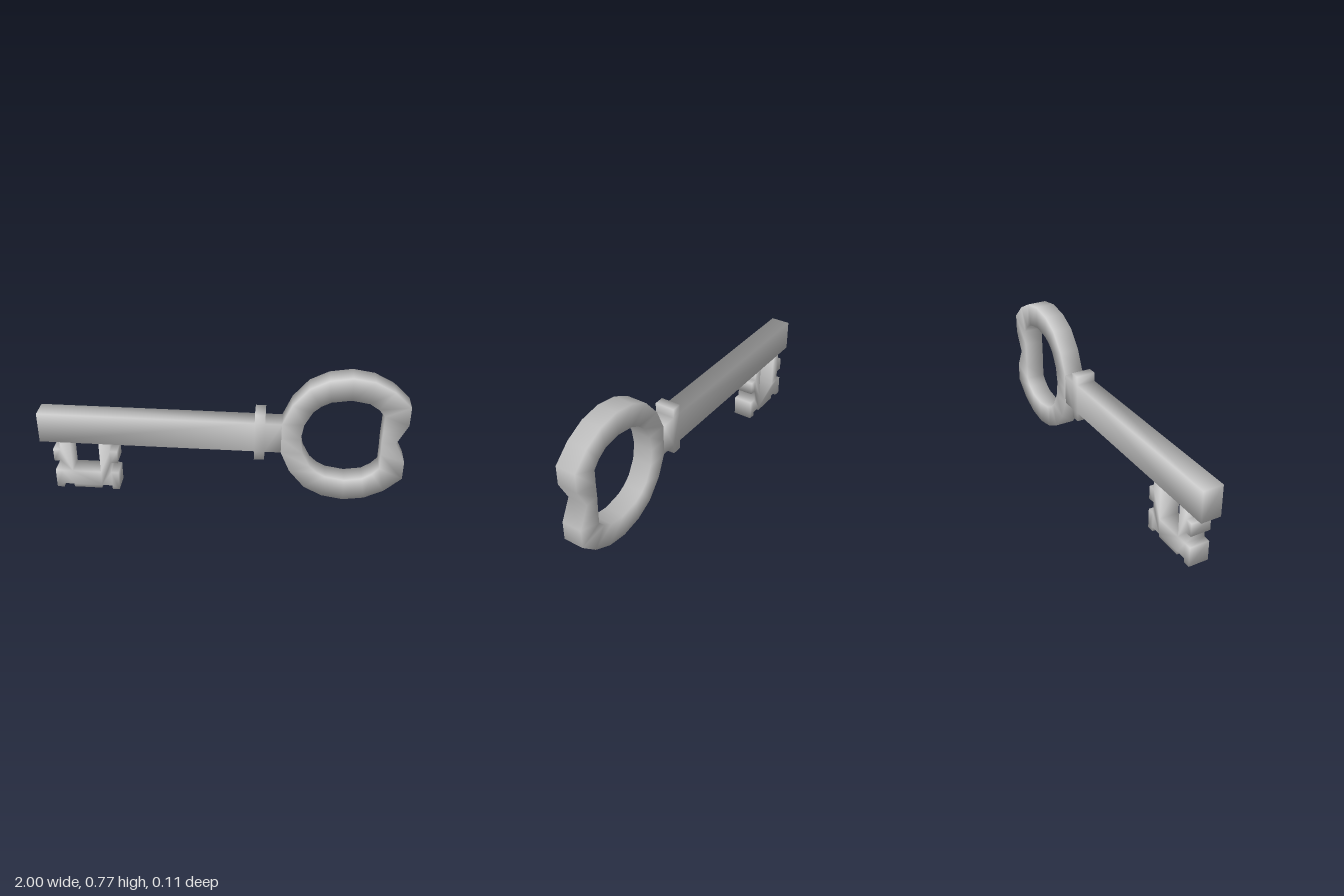
import * as THREE from 'three';
import { mergeVertices } from 'three/addons/utils/BufferGeometryUtils.js';

const DEPTH = 0.112;
const AXIS_Y = 0.388;
const material = new THREE.MeshStandardMaterial({ color: 0xcccccc });

// Blends the normals over every edge, weighting each face by its corner angle
function softNormals(geometry) {
  const { position } = geometry.attributes;
  const index = geometry.index.array;
  const normals = Array.from({ length: position.count }, () => new THREE.Vector3());
  for (let i = 0; i < index.length; i += 3) {
    const ids = [0, 1, 2].map((k) => index[i + k]);
    const corners = ids.map((id) => new THREE.Vector3().fromBufferAttribute(position, id));
    const faceNormal = new THREE.Triangle(...corners).getNormal(new THREE.Vector3());
    ids.forEach((id, k) => {
      const toNext = corners[(k + 1) % 3].clone().sub(corners[k]);
      const toLast = corners[(k + 2) % 3].clone().sub(corners[k]);
      normals[id].addScaledVector(faceNormal, toNext.angleTo(toLast));
    });
  }
  const flat = normals.flatMap((n) => n.normalize().toArray());
  geometry.setAttribute('normal', new THREE.Float32BufferAttribute(flat, 3));
}

function softMesh(name, geometry) {
  softNormals(geometry);
  const mesh = new THREE.Mesh(geometry, material);
  mesh.name = name;
  return mesh;
}

// Flat plate cut from an outline
function plate(name, outline) {
  const shape = new THREE.Shape(outline.map(([x, y]) => new THREE.Vector2(x, y)));
  const geometry = new THREE.ExtrudeGeometry(shape, { depth: DEPTH, bevelEnabled: false });
  geometry.translate(0, 0, -DEPTH / 2);
  geometry.deleteAttribute('normal');
  geometry.deleteAttribute('uv');
  return softMesh(name, mergeVertices(geometry, 1e-4));
}

// Closed ring of four-cornered sections, each given as outer x, y and inner x, y
function ring(name, sections) {
  const positions = [];
  const index = [];
  const z = DEPTH / 2;
  sections.forEach(([ox, oy, ix, iy], i) => {
    positions.push(ox, oy, z, ix, iy, z, ix, iy, -z, ox, oy, -z);
    const here = i * 4;
    const next = ((i + 1) % sections.length) * 4;
    for (let k = 0; k < 4; k++) {
      const l = (k + 1) % 4;
      index.push(here + l, next + l, next + k, here + l, next + k, here + k);
    }
  });
  const geometry = new THREE.BufferGeometry();
  geometry.setAttribute('position', new THREE.Float32BufferAttribute(positions, 3));
  geometry.setIndex(index);
  return softMesh(name, geometry);
}

export function createModel() {
  const key = new THREE.Group();
  key.name = 'key';

  // Shaft with its collar and the short neck behind it
  const stemTop = [
    [-1, 0.088], [0.19, 0.088], [0.19, 0.14], [0.246, 0.14], [0.246, 0.088], [0.335, 0.088],
  ];
  const stemBottom = stemTop.map(([x, y]) => [x, -y]).reverse();
  key.add(plate('shaftAndCollar', [...stemTop, ...stemBottom].map(([x, y]) => [x, AXIS_Y + y])));

  // Heart-shaped bow: upper half, then its mirror image
  const upper = [
    [0.335, 0, 0.438, 0], [0.335, 0.088, 0.453, 0.09], [0.385, 0.205, 0.495, 0.17],
    [0.47, 0.307, 0.535, 0.207], [0.57, 0.359, 0.585, 0.234], [0.69, 0.379, 0.69, 0.251],
    [0.805, 0.361, 0.785, 0.235], [0.91, 0.307, 0.835, 0.202], [1, 0.222, 0.87, 0.162],
    [1, 0.115, 0.87, 0.073], [0.943, 0, 0.868, 0],
  ];
  const lower = upper.slice(1, -1).reverse().map(([ox, oy, ix, iy]) => [ox, -oy, ix, -iy]);
  key.add(ring('bow', [...upper, ...lower].map(
    ([ox, oy, ix, iy]) => [ox, AXIS_Y + oy, ix, AXIS_Y + iy])));

  // Bit: two toothed legs joined by a notched foot
  key.add(plate('bit', [
    [-0.89, 0.3], [-0.89, 0.253], [-0.93, 0.253], [-0.93, 0.178], [-0.89, 0.178],
    [-0.89, 0.113], [-0.93, 0.113], [-0.93, 0], [-0.89, 0], [-0.89, 0.024],
    [-0.83, 0.024], [-0.83, 0.005], [-0.67, 0.005], [-0.67, 0.024],
    [-0.61, 0.024], [-0.61, 0], [-0.57, 0], [-0.57, 0.113], [-0.61, 0.113],
    [-0.61, 0.178], [-0.57, 0.178], [-0.57, 0.253], [-0.61, 0.253], [-0.61, 0.3],
    [-0.67, 0.3], [-0.67, 0.113], [-0.83, 0.113], [-0.83, 0.3],
  ]));

  return key;
}
